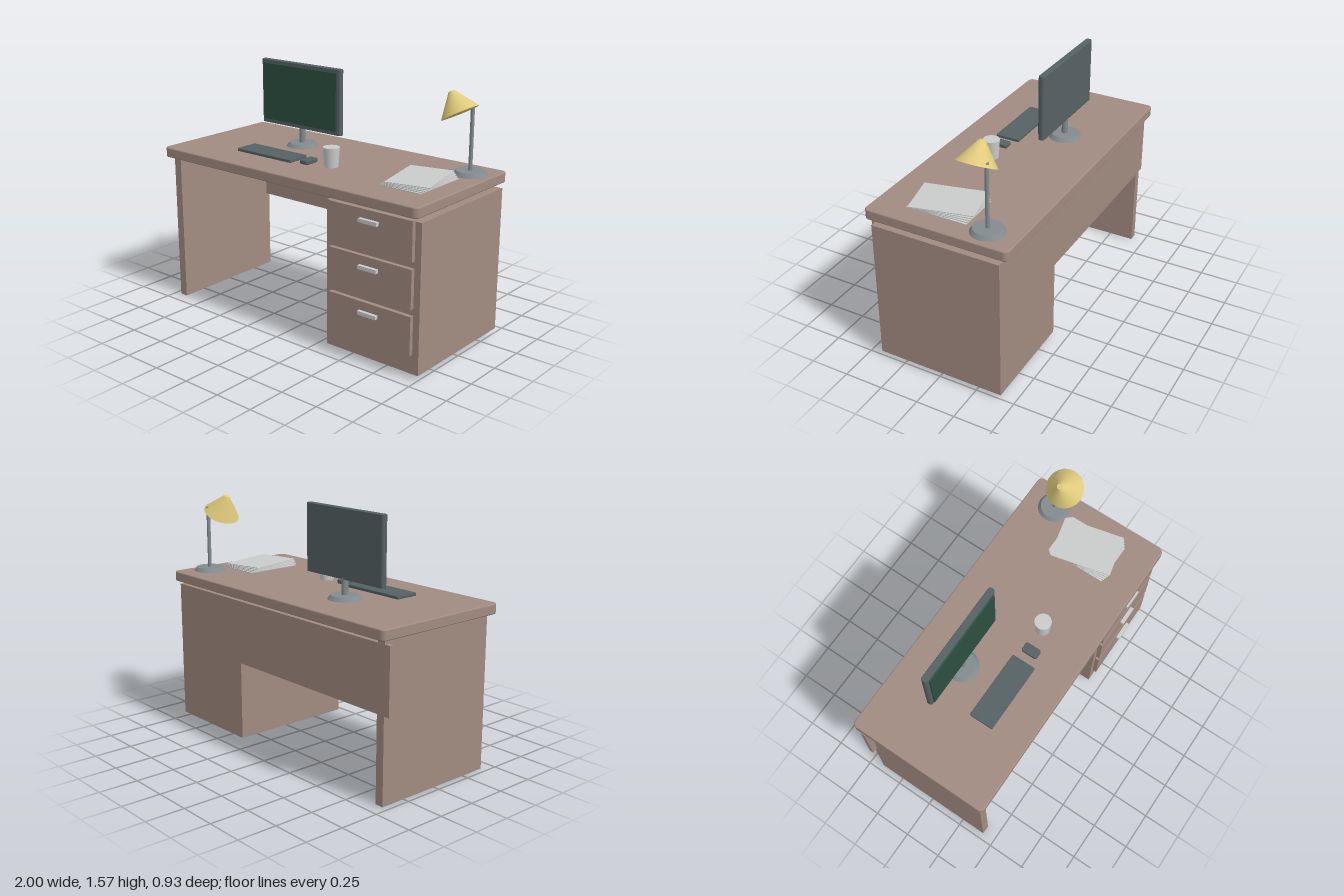
import * as THREE from 'three';

const mat = (name, color) => {
  const m = new THREE.MeshStandardMaterial({ color });
  m.name = name;
  return m;
};

export function createModel() {
  const wood = mat('wood', 0xa18b81);
  const charcoal = mat('charcoal', 0x566164);
  const screenGreen = mat('screen green', 0x2b5040);
  const steel = mat('steel', 0x828b8e);
  const brass = mat('brass', 0xdfca7b);
  const paper = mat('paper', 0xcacccb);

  const model = new THREE.Group();
  model.name = 'desk';

  const group = (name) => {
    const g = new THREE.Group();
    g.name = name;
    model.add(g);
    return g;
  };
  const add = (parent, name, geometry, material, x = 0, y = 0, z = 0) => {
    const mesh = new THREE.Mesh(geometry, material);
    mesh.name = name;
    mesh.position.set(x, y, z);
    parent.add(mesh);
    return mesh;
  };
  // Box given by its limits on each axis
  const box = (parent, name, material, [x0, x1], [y0, y1], [z0, z1]) =>
    add(parent, name, new THREE.BoxGeometry(x1 - x0, y1 - y0, z1 - z0), material,
      (x0 + x1) / 2, (y0 + y1) / 2, (z0 + z1) / 2);

  // Upright slab with rounded corners in plan and a softened rim
  const slab = (parent, name, material, [x0, x1], [y0, y1], [z0, z1], r, b) => {
    const w = (x1 - x0) / 2 - b, d = (z1 - z0) / 2 - b;
    const s = new THREE.Shape();
    s.moveTo(w, -d + r);
    s.absarc(w - r, d - r, r, 0, Math.PI / 2);
    s.absarc(-w + r, d - r, r, Math.PI / 2, Math.PI);
    s.absarc(-w + r, -d + r, r, Math.PI, Math.PI * 1.5);
    s.absarc(w - r, -d + r, r, Math.PI * 1.5, Math.PI * 2);
    const geo = new THREE.ExtrudeGeometry(s, {
      depth: y1 - y0 - 2 * b, bevelThickness: b, bevelSize: b, bevelSegments: 3, curveSegments: 6,
    });
    geo.rotateX(-Math.PI / 2);
    return add(parent, name, geo, material, (x0 + x1) / 2, y0 + b, (z0 + z1) / 2);
  };

  const cylinder = (parent, name, material, rTop, rBottom, [y0, y1], x, z) =>
    add(parent, name, new THREE.CylinderGeometry(rTop, rBottom, y1 - y0, 32), material,
      x, (y0 + y1) / 2, z);

  // Desk carcass
  const desk = group('deskFrame');
  slab(desk, 'desktop', wood, [-1, 1], [0.97, 1.035], [-0.465, 0.465], 0.025, 0.008);
  box(desk, 'sideLeg', wood, [-0.96, -0.905], [0, 0.965], [-0.414, 0.415]);
  box(desk, 'backPanel', wood, [-1, 0.34], [0.535, 0.94], [-0.415, -0.385]);
  box(desk, 'cabinet', wood, [0.335, 1], [0.03, 0.94], [-0.415, 0.415]);

  // Three drawers, bottom to top
  for (let i = 0; i < 3; i++) {
    const drawer = group('drawer');
    const y = 0.15 + i * 0.28;
    box(drawer, 'drawerFront', wood, [0.372, 0.958], [y, y + 0.238], [0.415, 0.442]);
    box(drawer, 'drawerHandle', paper, [0.6, 0.73], [y + 0.161, y + 0.184], [0.44, 0.465]);
  }

  // Monitor
  const monitor = group('monitor');
  const mx = -0.335, mz = -0.137;
  cylinder(monitor, 'monitorBase', steel, 0.085, 0.105, [1.034, 1.06], mx, mz);
  cylinder(monitor, 'monitorNeck', steel, 0.02, 0.02, [1.055, 1.16], mx, mz);
  slab(monitor, 'monitorBody', charcoal, [-0.667, -0.003], [1.152, 1.573], [-0.155, -0.114], 0.012, 0.004);
  box(monitor, 'screen', screenGreen, [-0.644, -0.03], [1.178, 1.549], [-0.114, -0.105]);

  // Keyboard and mouse
  slab(model, 'keyboard', charcoal, [-0.563, -0.11], [1.035, 1.054], [0.076, 0.235], 0.006, 0.003);
  slab(model, 'mouse', charcoal, [-0.06, 0.003], [1.035, 1.06], [0.1, 0.208], 0.01, 0.005);

  // Cup
  cylinder(model, 'cup', paper, 0.052, 0.043, [1.034, 1.157], 0.131, 0.13);

  // Fanned stack of paper sheets
  const papers = group('papers');
  for (let i = 0; i < 5; i++) {
    const sheet = add(papers, 'sheet', new THREE.BoxGeometry(0.275, 0.005, 0.39), paper,
      0.733, 1.0385 + i * 0.008, 0.062);
    sheet.rotation.y = i * 0.0575;
  }

  // Desk lamp with a tilted cone shade
  const lamp = group('lamp');
  const lx = 0.863, lz = -0.268;
  cylinder(lamp, 'lampBase', steel, 0.086, 0.104, [1.034, 1.06], lx, lz);
  cylinder(lamp, 'lampPole', steel, 0.012, 0.012, [1.055, 1.46], lx, lz);
  const shade = add(lamp, 'lampShade', new THREE.CylinderGeometry(0.017, 0.118, 0.137, 32), brass,
    0.796, 1.472, -0.187);
  shade.rotation.z = 0.495;

  return model;
}
